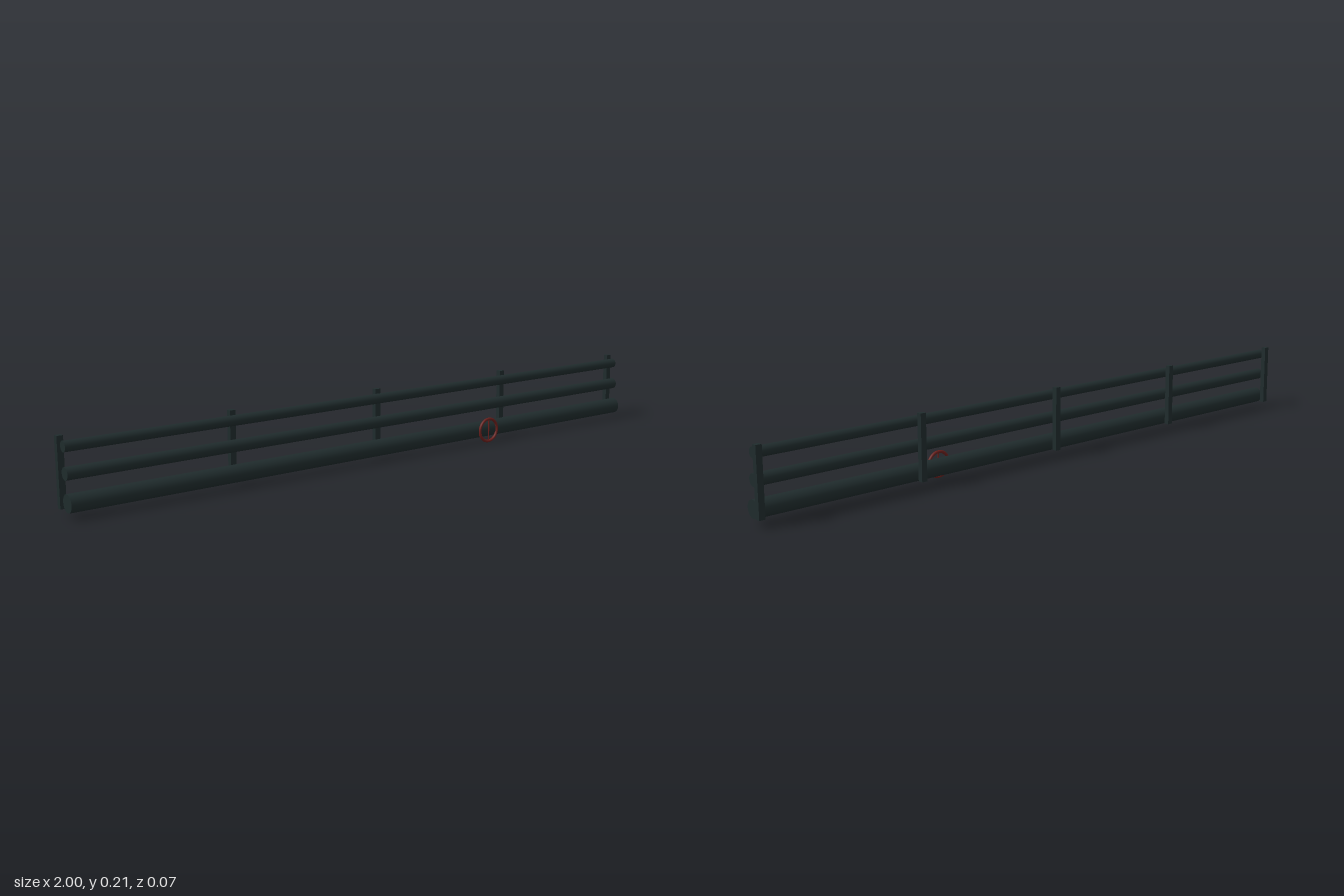
import * as THREE from 'three';

export function createModel() {
  const group = new THREE.Group();
  const darkSteel = new THREE.MeshStandardMaterial({ color: 0x1f2b2c });
  darkSteel.name = 'dark steel';
  const valveRed = new THREE.MeshStandardMaterial({ color: 0x6a1f1c });
  valveRed.name = 'valve red';

  const add = (parent, name, geometry, material, x, y, z) => {
    const mesh = new THREE.Mesh(geometry, material);
    mesh.name = name;
    mesh.position.set(x, y, z);
    parent.add(mesh);
    return mesh;
  };

  // Three parallel pipes, thickest at the bottom: [name, radius, y, z]
  const pipes = [
    ['lowerPipe', 0.0245, 0.04, 0.006],
    ['middlePipe', 0.017, 0.115, -0.001],
    ['upperPipe', 0.0145, 0.184, -0.004],
  ];
  for (const [name, radius, y, z] of pipes) {
    const geometry = new THREE.CylinderGeometry(radius, radius, 1.984, 24);
    geometry.rotateZ(Math.PI / 2);
    add(group, name, geometry, darkSteel, 0, y, z);
  }

  // Support posts behind the pipes
  const post = new THREE.BoxGeometry(0.0175, 0.188, 0.015);
  for (let i = -2; i <= 2; i++) {
    add(group, 'supportPost', post, darkSteel, i * 0.4956, 0.115, -0.0265);
  }

  // Valve handwheel on the lower pipe
  const wheel = new THREE.Group();
  wheel.name = 'valveWheel';
  wheel.position.set(0.396, 0.04, 0.0305);
  add(wheel, 'wheelRim', new THREE.TorusGeometry(0.035, 0.0043, 10, 32), valveRed, 0, 0, 0);
  add(wheel, 'wheelSpoke', new THREE.CylinderGeometry(0.002, 0.002, 0.07, 8), valveRed, 0, 0, 0.001);
  group.add(wheel);

  return group;
}
